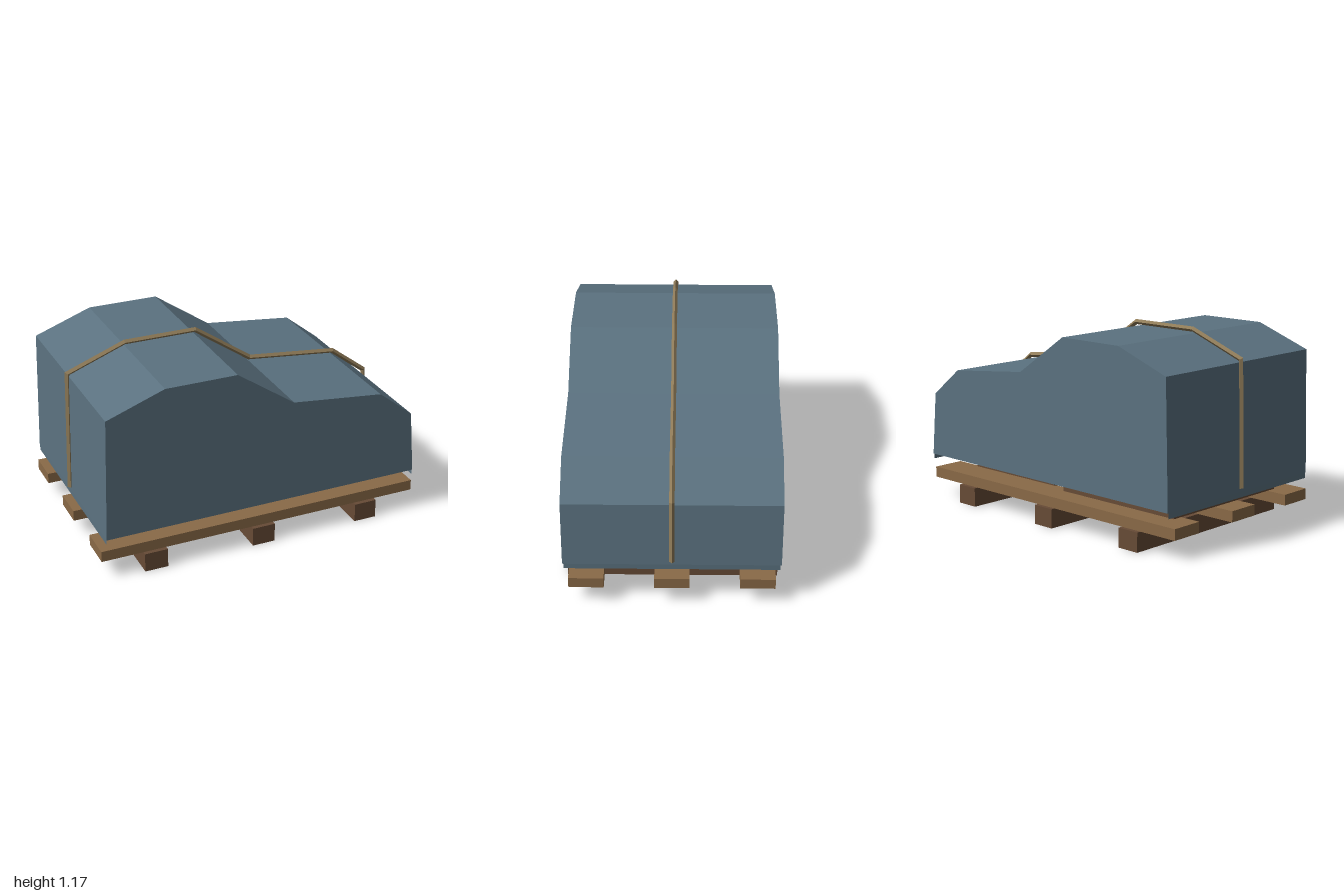
import * as THREE from 'three';

const mat = (name, color, extra = {}) => Object.assign(new THREE.MeshStandardMaterial({ color, ...extra }), { name });

// Joins equal cross-section loops into a flat-shaded surface
function loft(loops, closed) {
  const pos = [];
  const n = loops[0].length;
  for (let i = 0; i < loops.length - 1; i++) {
    for (let j = 0; j < (closed ? n : n - 1); j++) {
      const k = (j + 1) % n;
      const a = loops[i][j], b = loops[i][k], c = loops[i + 1][k], d = loops[i + 1][j];
      for (const p of [a, b, c, a, c, d]) pos.push(...p);
    }
  }
  const g = new THREE.BufferGeometry();
  g.setAttribute('position', new THREE.Float32BufferAttribute(pos, 3));
  g.computeVertexNormals();
  return g;
}

export function createModel() {
  const model = new THREE.Group();
  model.name = 'coveredPallet';
  const plank = mat('plankWood', 0x8a6a47);
  const dark = mat('darkWood', 0x674b36);
  const canvas = mat('canvas', 0x5b7280, { side: THREE.DoubleSide });
  const webbing = mat('webbing', 0x8f7b58, { side: THREE.DoubleSide });

  const add = (name, geometry, material) => {
    const m = new THREE.Mesh(geometry, material);
    m.name = name;
    model.add(m);
    return m;
  };
  // Box given by its limits on each axis
  const box = (name, x0, x1, y0, y1, z0, z1, material) =>
    add(name, new THREE.BoxGeometry(x1 - x0, y1 - y0, z1 - z0), material)
      .position.set((x0 + x1) / 2, (y0 + y1) / 2, (z0 + z1) / 2);

  // Pallet: three runners across, three deck planks along
  for (const x of [-0.68, -0.005, 0.67]) box('runner', x - 0.07, x + 0.07, 0, 0.115, -0.61, 0.61, dark);
  for (const z of [-0.485, 0, 0.485]) box('deckPlank', -1, 0.995, 0.115, 0.18, z - 0.1, z + 0.1, plank);

  // Crates under the cover
  box('tallCrate', -0.87, -0.005, 0.18, 0.96, -0.445, 0.45, dark);
  box('lowCrate', 0.12, 0.815, 0.18, 0.72, -0.4, 0.355, dark);

  // Cover: top and ends as one folded sheet, with two flat sides
  const W = 0.615;
  const ridge = [[-0.955, 1.005], [-0.61, 1.13], [-0.18, 1.13], [0.17, 0.89], [0.73, 0.83], [0.945, 0.66]];
  const hemL = [-0.975, 0.267], hemR = [0.98, 0.272];
  const fold = [hemL, ...ridge, hemR];
  add('coverTop', loft(fold.map(([x, y]) => [[x, y, -W], [x, y, W]]), false), canvas);
  const side = new THREE.Shape(fold.map(([x, y]) => new THREE.Vector2(x, y)));
  for (const s of [1, -1]) {
    const panel = add('coverSide', new THREE.ShapeGeometry(side), canvas);
    panel.position.z = s * W;
    // Hem turned inwards under each side
    add('sideHem', loft([hemL, hemR].map(([x, y]) => [[x, y, s * W], [x, y, s * (W - 0.035)]]), false), canvas);
  }
  // End flaps hang a little lower than the sides
  for (const [[x, y], low] of [[hemL, 0.235], [hemR, 0.24]]) {
    add('endFlap', loft([[[x, y, -0.608], [x, y, 0.608]], [[x, low, -0.608], [x, low, 0.608]]], false), canvas);
  }

  // Strap: diamond section mitred along the cover's centre line
  const path = [[-0.981, 0.29], [-0.962, 1.022], [-0.612, 1.154], [-0.175, 1.154],
    [0.175, 0.912], [0.735, 0.852], [0.957, 0.684], [0.99, 0.3]].map(([x, y]) => new THREE.Vector2(x, y));
  const R = 0.015;
  const normal = (a, b) => { const d = b.clone().sub(a).normalize(); return new THREE.Vector2(-d.y, d.x); };
  const loops = path.map((p, i) => {
    const n0 = normal(path[Math.max(i - 1, 0)], path[Math.max(i, 1)]);
    const last = path.length - 1;
    const n1 = normal(path[Math.min(i, last - 1)], path[Math.min(i + 1, last)]);
    const n = n0.clone().add(n1).normalize();
    n.multiplyScalar(R / n.dot(n0));
    return [[p.x + n.x, p.y + n.y, 0], [p.x, p.y, -R], [p.x - n.x, p.y - n.y, 0], [p.x, p.y, R]];
  });
  add('strap', loft(loops, true), webbing);

  return model;
}
